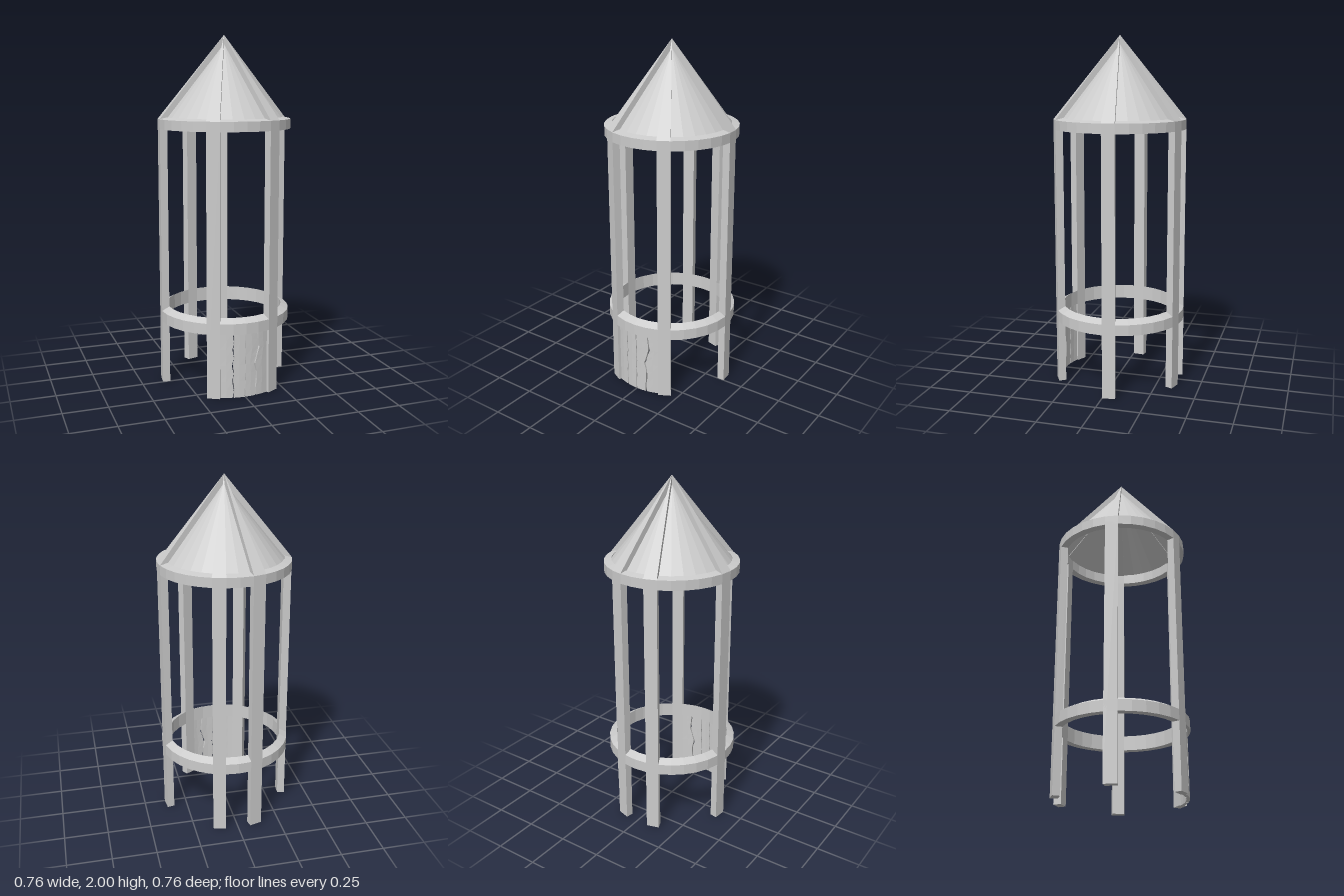
import * as THREE from 'three';

const DEG = Math.PI / 180, SIDES = 32, STEP = 360 / SIDES;
const R_OUT = 0.378, R_IN = 0.335;

// Flat-shaded mesh with a plain name
function part(name, geometry, side = THREE.FrontSide) {
  const geo = geometry.index ? geometry.toNonIndexed() : geometry;
  geo.computeVertexNormals();
  const mat = new THREE.MeshStandardMaterial({ color: 0xcccccc, flatShading: true, side });
  const mesh = new THREE.Mesh(geo, mat);
  mesh.name = name;
  return mesh;
}

// Box wrapped around the y axis: rule(u, v, w) gives [angle from +z in degrees, radius, y]
function wrappedBox(rule, cols = 1, rows = 1) {
  const geo = new THREE.BoxGeometry(1, 1, 1, cols, rows, 1);
  const p = geo.attributes.position;
  for (let i = 0; i < p.count; i++) {
    const [a, r, y] = rule(p.getX(i) + 0.5, p.getY(i) + 0.5, p.getZ(i) + 0.5);
    p.setXYZ(i, r * Math.sin(a * DEG), y, r * Math.cos(a * DEG));
  }
  return geo;
}

const lathe = (pts) => new THREE.LatheGeometry(pts.map(([r, y]) => new THREE.Vector2(r, y)), SIDES);

// Ring whose top slopes from the outer edge to the inner edge
const ring = (bottom, topOuter, topInner) => lathe([
  [R_OUT, bottom], [R_OUT, topOuter], [R_IN, topInner], [R_IN, bottom], [R_OUT, bottom],
]);

export function createModel() {
  const model = new THREE.Group();
  const lerp = THREE.MathUtils.lerp;

  // Rings and roof
  model.add(part('lowerRing', ring(0.37, 0.432, 0.455)));
  model.add(part('upperRing', ring(1.48, 1.535, 1.545)));
  model.add(part('roofCone', lathe([[R_IN, 1.54], [0, 1.95]]), THREE.DoubleSide));

  // Posts with matching roof ribs, each one side of the circle wide, in mirrored pairs
  for (const start of [22.5, 90, 157.5]) {
    for (const side of [1, -1]) {
      const from = side > 0 ? start : -start - STEP;
      const label = side > 0 ? 'left' : 'right';
      model.add(part(label + 'Post', wrappedBox((u, v, w) =>
        [from + u * STEP, lerp(R_IN, R_OUT, w), v * 1.5])));
      // v runs from the eaves to the peak, w from the cone out to the rib surface
      model.add(part(label + 'RoofRib', wrappedBox((u, v, w) =>
        [from + u * STEP, lerp(R_IN, R_OUT, w) * (1 - v), lerp(1.535, lerp(1.95, 2, w), v)])));
    }
  }

  // Front panel: four planks parted by jagged cracks, listed from bottom to top
  // as angle offsets of each crack line and its half width in degrees
  const cracks = [
    { at: [-11, -10.2, -11.4, -10.6, -11.6, -10.4, -11.2, -10.2, -11], gap: 0.55 },
    { at: [0, -0.4, 0.3, -0.3, 0.4, -0.3, 0.2, -0.2, 0], gap: 0.45 },
    { at: [10.3, 10, 10.8, 10.9, 9.0, 11.2, 13.4, 12.6, 11.8], gap: 0.7 },
  ];
  const rows = 8;
  const edge = (k, row, dir) => {
    if (k < 0) return -23;
    if (k > 2) return 23;
    return cracks[k].at[row] + dir * cracks[k].gap * (row % 2 ? 0.6 : 1);
  };
  for (let k = 0; k < 4; k++) {
    model.add(part('frontPlank', wrappedBox((u, v, w) => {
      const row = Math.round(v * rows);
      const angle = lerp(edge(k - 1, row, 1), edge(k, row, -1), u);
      return [angle, lerp(0.343, 0.362, w), v * 0.375];
    }, 2, rows)));
  }
  return model;
}
